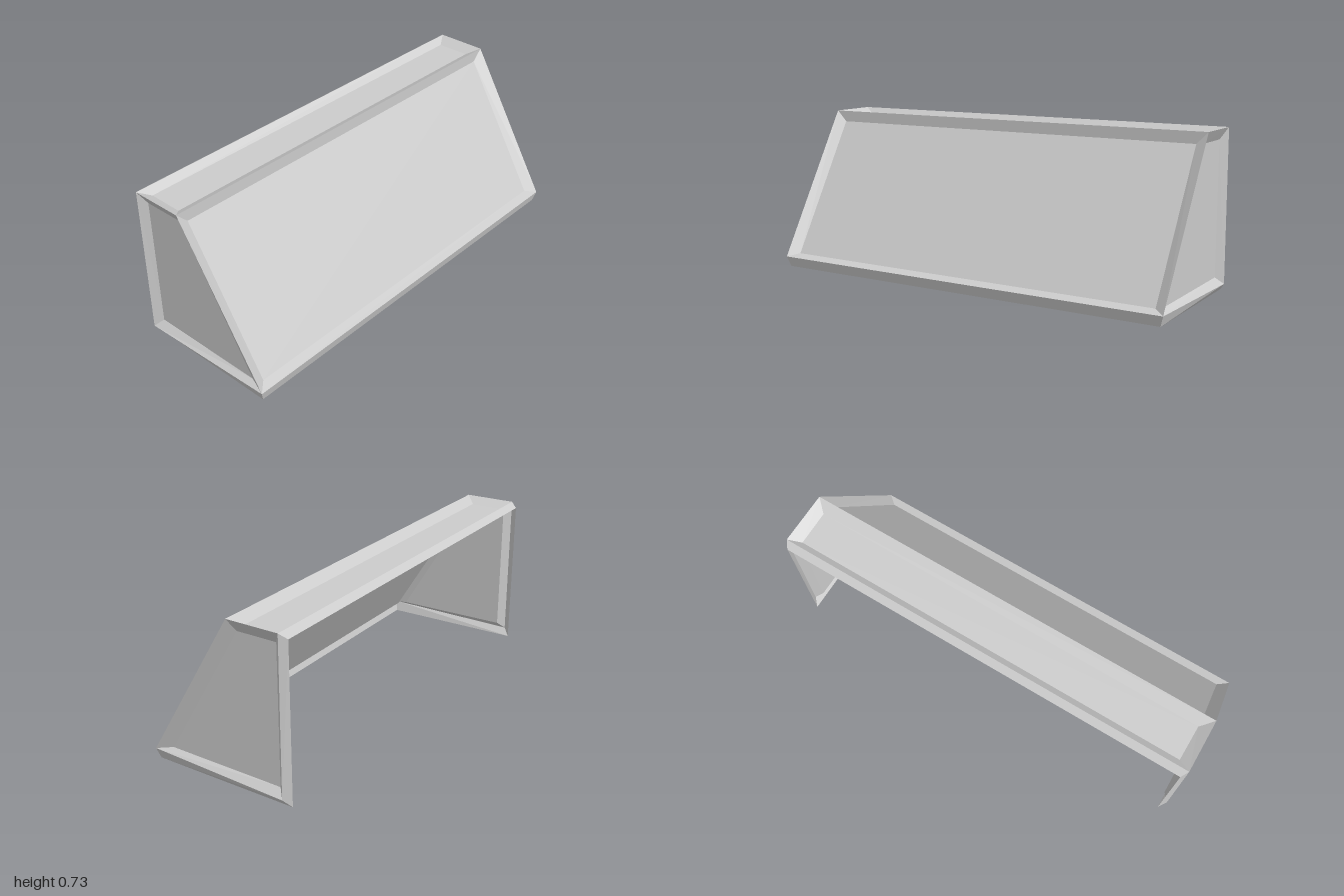
import * as THREE from 'three';

const material = new THREE.MeshStandardMaterial({ color: 0xcccccc, flatShading: true, side: THREE.DoubleSide });

// Flat-shaded mesh from a list of four-cornered faces (corners anticlockwise from outside)
function quadMesh(name, quads) {
  const pos = [];
  for (const [a, b, c, d] of quads) pos.push(...a, ...b, ...c, ...a, ...c, ...d);
  const geometry = new THREE.BufferGeometry();
  geometry.setAttribute('position', new THREE.Float32BufferAttribute(pos, 3));
  geometry.computeVertexNormals();
  const mesh = new THREE.Mesh(geometry, material);
  mesh.name = name;
  return mesh;
}

// A sunken panel with a sloping frame between its outer and inner outline
function sunkenPanel(name, outer, inner) {
  const frame = outer.map((p, i) => {
    const j = (i + 1) % 4;
    return [p, outer[j], inner[j], inner[i]];
  });
  return quadMesh(name, [...frame, inner]);
}

const mirror = ([x, y, z]) => [x, y, -z];
const mirrorFace = (face) => face.map(mirror).reverse();
// Closes a front edge with its mirrored back edge
const span = (a, b) => [a, mirror(a), mirror(b), b];

export function createModel() {
  const group = new THREE.Group();
  group.name = 'openWedgeCover';

  // Corners of the front end
  const backLow = [-0.318, 0.033, 1], slopeLow = [0.348, 0.048, 0.985];
  const slopeTop = [-0.073, 0.733, 0.992], backTop = [-0.318, 0.733, 0.995];
  // Corners of the open rim
  const rimBackLow = [-0.35, 0, 0.975], rimSlopeLow = [0.335, 0, 0.97], rimBackTop = [-0.35, 0.71, 0.975];

  // End plates
  const endOuter = [backLow, slopeLow, slopeTop, backTop];
  const endInner = [[-0.287, 0.065, 0.967], [0.27, 0.065, 0.96], [-0.1, 0.68, 0.963], [-0.287, 0.68, 0.965]];
  group.add(sunkenPanel('frontEndPlate', endOuter, endInner));
  group.add(sunkenPanel('backEndPlate', mirrorFace(endOuter), mirrorFace(endInner)));

  // Sloping and top plates
  group.add(sunkenPanel('slopingPlate', span(slopeLow, slopeTop),
    span([0.305, 0.062, 0.935], [-0.073, 0.68, 0.94])));
  group.add(sunkenPanel('topPlate', span(slopeTop, backTop),
    span([-0.125, 0.704, 0.94], [-0.287, 0.704, 0.94])));

  // Turned-in rim around the open bottom and open side
  const endRims = [
    [rimBackLow, rimSlopeLow, slopeLow, backLow],
    [rimBackLow, backLow, backTop, rimBackTop],
  ];
  group.add(quadMesh('frontRim', endRims));
  group.add(quadMesh('backRim', endRims.map(mirrorFace)));
  group.add(quadMesh('slopeRim', [span(rimSlopeLow, slopeLow)]));
  group.add(quadMesh('topRim', [span(backTop, rimBackTop)]));

  return group;
}
